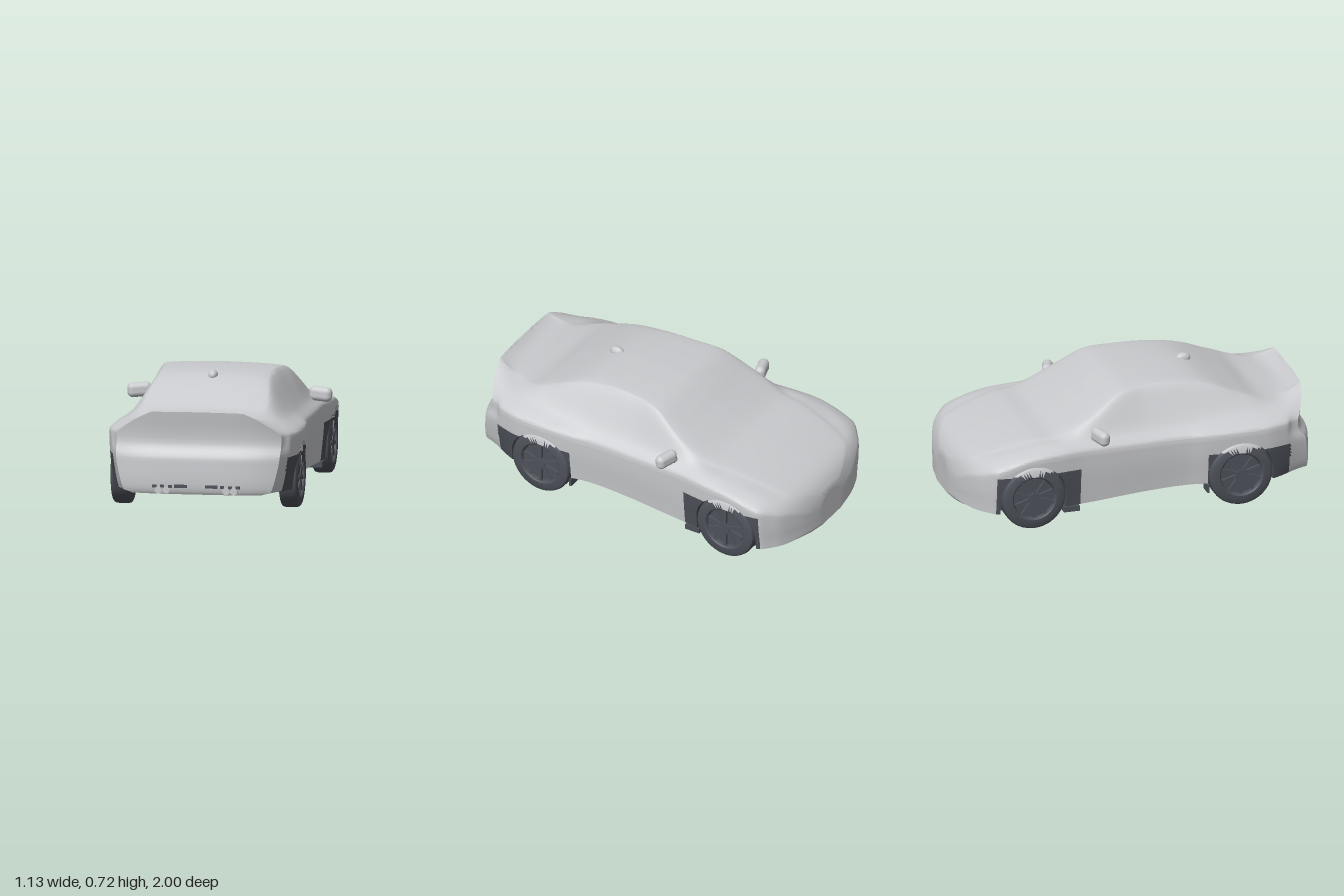
import * as THREE from 'three';
import { toCreasedNormals } from 'three/addons/utils/BufferGeometryUtils.js';
import { RoundedBoxGeometry } from 'three/addons/geometries/RoundedBoxGeometry.js';

const paint = new THREE.MeshStandardMaterial({ color: 0xc9cacd });
paint.name = 'silver paint';
const dark = new THREE.MeshStandardMaterial({ color: 0x4d5159 });
dark.name = 'dark rubber';

const WHEEL_R = 0.18, ARCH_R = 0.187, WELL_X = 0.4, DARK_TOP = 0.317;
const REAR_Z = 0.55, FRONT_Z = -0.63;

// Body dimensions along the car as [z, value] pairs, nose at -1
const halfWidth = [[-1, .12], [-.985, .24], [-.965, .31], [-.93, .4], [-.89, .455], [-.83, .51], [-.6, .527], [-.48, .52], [-.35, .505], [-.2, .5], [.1, .495], [.25, .5], [.35, .515], [.5, .525], [.7, .523], [.8, .5], [.95, .455]];
const bottomY = [[-1, .09], [-.8, .085], [-.35, .09], [0, .115], [.3, .127], [.45, .12], [.7, .11], [.95, .125]];
const shoulderY = [[-1, .2], [-.965, .27], [-.9, .32], [-.8, .36], [-.6, .41], [0, .42], [.5, .43], [.8, .44], [.95, .44]];
const beltX = [[-1, .1], [-.965, .27], [-.9, .39], [-.8, .44], [-.6, .46], [-.4, .455], [0, .44], [.4, .435], [.7, .42], [.85, .39], [.95, .37]];
const beltY = [[-1, .24], [-.965, .3], [-.9, .355], [-.8, .4], [-.6, .445], [-.45, .46], [-.2, .475], [.2, .485], [.6, .5], [.8, .5], [.95, .51]];
const roofX = [[-1, .07], [-.965, .2], [-.9, .31], [-.6, .38], [-.4, .4], [-.25, .39], [-.1, .345], [.05, .315], [.25, .31], [.45, .325], [.65, .345], [.75, .32], [.85, .28], [.95, .255]];
const roofY = [[-1, .26], [-.965, .325], [-.9, .374], [-.75, .425], [-.6, .46], [-.45, .475], [-.25, .57], [-.1, .662], [.05, .685], [.25, .68], [.45, .64], [.6, .58], [.75, .535], [.85, .53], [.95, .572]];
const topY = [[-1, .27], [-.965, .335], [-.9, .385], [-.75, .44], [-.6, .475], [-.47, .49], [-.3, .575], [-.2, .635], [-.1, .685], [0, .7], [.15, .705], [.3, .7], [.4, .68], [.6, .6], [.7, .555], [.8, .54], [.88, .535], [.92, .55], [.95, .577]];
// How far the tail stands out at each height: bumper, recess, spoiler lip
const tailOut = [[.1, .02], [.15, .046], [.3, .047], [.34, .04], [.38, .008], [.45, .002], [.58, .02]];

// Smooth interpolation through [key, value] pairs
function at(table, k) {
  const n = table.length - 1;
  k = Math.min(Math.max(k, table[0][0]), table[n][0]);
  let i = 0;
  while (i < n - 1 && k > table[i + 1][0]) i++;
  const slope = (a, b) => (table[b][1] - table[a][1]) / (table[b][0] - table[a][0]);
  const h = table[i + 1][0] - table[i][0], t = (k - table[i][0]) / h;
  const m0 = slope(Math.max(i - 1, 0), i + 1) * h, m1 = slope(i, Math.min(i + 2, n)) * h;
  const t2 = t * t, t3 = t2 * t;
  return (2 * t3 - 3 * t2 + 1) * table[i][1] + (t3 - 2 * t2 + t) * m0 + (3 * t2 - 2 * t3) * table[i + 1][1] + (t3 - t2) * m1;
}

// Half cross-section from the underside centre to the roof centre;
// archZ is the wheel centre when the section is cut by a wheel arch
function halfSection(z, archZ) {
  const w = at(halfWidth, z), b = at(bottomY, z), s = at(shoulderY, z) - .02;
  const rx = at(roofX, z), ry = at(roofY, z), top = at(topY, z);
  const cut = archZ !== undefined;
  const archTop = cut ? WHEEL_R + Math.sqrt(Math.max(0, ARCH_R ** 2 - (z - archZ) ** 2)) : b;
  const y0 = cut ? archTop : b + .015;
  const sill = .95 - .07 * THREE.MathUtils.smoothstep(z, .7, .95);
  const flank = [[b, w * sill], [b + .06, w * (sill + .975) / 2], [b + (s - b) * .65, w * .99], [s, w]];
  const innerX = Math.min(WELL_X, w * .78);
  const band = Math.min(Math.max(y0, DARK_TOP), s);
  const pts = [];
  const run = (count, f) => { for (let i = 1; i <= count; i++) pts.push(f(i / count)); };
  const mix = THREE.MathUtils.lerp;
  pts.push([0, b]);
  run(4, t => [innerX * t, b]);                                       // floor
  run(3, t => [innerX, mix(b, archTop, t)]);                          // inner wall of the well
  run(3, t => [mix(innerX, at(flank, y0), t), mix(archTop, y0, t)]);  // sill or arch lip
  run(9, t => [at(flank, mix(y0, band, t)), mix(y0, band, t)]);       // lower flank
  run(6, t => [at(flank, mix(band, s, t)), mix(band, s, t)]);         // upper flank
  const cabin = new THREE.CatmullRomCurve3([
    [w, s], [w * .99, s + .025], [at(beltX, z), at(beltY, z)], [rx, ry],
    [rx * .93, ry + (top - ry) * .35], [rx * .5, ry + (top - ry) * .8], [0, top],
  ].map(([x, y]) => new THREE.Vector3(x, y, 0)));
  cabin.getPoints(42).slice(1).forEach(p => pts.push([p.x, p.y]));
  return pts;
}

// Splits triangles between paint and dark by their centre point
function twoTone(geo, isDark) {
  const p = geo.attributes.position, lists = [[], []];
  const count = geo.index ? geo.index.count : p.count;
  for (let i = 0; i < count; i += 3) {
    const ids = [0, 1, 2].map(k => geo.index ? geo.index.getX(i + k) : i + k);
    const c = new THREE.Vector3();
    ids.forEach(id => c.add(new THREE.Vector3().fromBufferAttribute(p, id)));
    lists[isDark(c.divideScalar(3)) ? 1 : 0].push(...ids);
  }
  geo.clearGroups();
  geo.setIndex(lists[0].concat(lists[1]));
  geo.addGroup(0, lists[0].length, 0);
  geo.addGroup(lists[0].length, lists[1].length, 1);
  return new THREE.Mesh(geo, [paint, dark]);
}

function makeBody() {
  // Rings [z, width scale, arch centre] from nose to tail, with doubled rings
  // at the arch ends and narrowing rings that close the nose and tail
  const rings = [];
  for (let s = 0; s < 5; s++) rings.push([-1, s / 5]);
  const span = (from, to) => {
    const n = Math.ceil((to - from) / .015);
    for (let i = 0; i <= n; i++) rings.push([from + (to - from) * i / n, 1]);
  };
  const arch = cz => {
    for (let i = 0; i <= 32; i++) rings.push([cz - ARCH_R * Math.cos(Math.PI * i / 32), 1, cz]);
  };
  span(-1, -.84);
  span(-.84, FRONT_Z - ARCH_R);
  arch(FRONT_Z);
  span(FRONT_Z + ARCH_R, -.36);
  span(-.36, REAR_Z - ARCH_R);
  arch(REAR_Z);
  span(REAR_Z + ARCH_R, .84);
  span(.84, .95);
  for (let s = 9; s >= 0; s--) rings.push([.95, s / 10]);

  const pos = [], index = [];
  let n = 0;
  for (const [z, s, archZ] of rings) {
    const half = halfSection(z, archZ);
    const loop = [...half, ...half.slice(1, -1).reverse().map(([x, y]) => [-x, y])];
    n = loop.length;
    const tail = THREE.MathUtils.smoothstep(z, .8, .95);
    for (const [x, y] of loop) {
      pos.push(x * s, y, z + tail * (at(tailOut, y) - .055 * Math.abs(x * s / .44) ** 4));
    }
  }
  for (let i = 0; i < rings.length - 1; i++) {
    for (let j = 0; j < n; j++) {
      const k = (j + 1) % n;
      const a = i * n + j, b = i * n + k, c = a + n, d = b + n;
      index.push(a, b, d, a, d, c);
    }
  }
  const geo = new THREE.BufferGeometry();
  geo.setAttribute('position', new THREE.Float32BufferAttribute(pos, 3));
  geo.setIndex(index);
  const body = twoTone(toCreasedNormals(geo, .7), c =>
    c.y < DARK_TOP && Math.abs(c.x) > WELL_X - .005 &&
    ((c.z > .36 && c.z < .84) || (c.z > -.84 && c.z < -.36)));
  body.name = 'body';
  return body;
}

function makeWheel(side, z) {
  const wheel = new THREE.Group();
  wheel.name = (z > 0 ? 'rear' : 'front') + (side > 0 ? 'Left' : 'Right') + 'Wheel';
  const place = g => g.rotateZ(-side * Math.PI / 2).translate(side * .463, WHEEL_R, z);
  // Tyre with a recessed rim dish
  const profile = [[0, -.05], [.165, -.05], [.176, -.044], [WHEEL_R, -.03], [WHEEL_R, .03], [.175, .044], [.165, .051], [.125, .053], [.118, .048], [.113, .03], [0, .03]];
  const tyreGeo = place(new THREE.LatheGeometry(profile.map(p => new THREE.Vector2(...p)), 64));
  const tyre = twoTone(toCreasedNormals(tyreGeo, .6), c => c.y < DARK_TOP);
  tyre.name = 'tyre';
  wheel.add(tyre);
  // Ten spokes and a hub
  for (let i = 0; i < 10; i++) {
    const spoke = new THREE.BoxGeometry(.09, .016, .018).translate(.068, .038, 0).rotateY(i * Math.PI / 5);
    const mesh = new THREE.Mesh(place(spoke), dark);
    mesh.name = 'spoke';
    wheel.add(mesh);
  }
  const hub = new THREE.Mesh(place(new THREE.CylinderGeometry(.03, .034, .02, 24).translate(0, .04, 0)), dark);
  hub.name = 'hub';
  wheel.add(hub);
  return wheel;
}

export function createModel() {
  const car = new THREE.Group();
  car.name = 'car';
  const add = (name, geo, mat, x, y, z) => {
    const mesh = new THREE.Mesh(geo, mat);
    mesh.name = name;
    mesh.position.set(x, y, z);
    car.add(mesh);
    return mesh;
  };
  car.add(makeBody());
  for (const side of [1, -1]) {
    for (const z of [REAR_Z, FRONT_Z]) car.add(makeWheel(side, z));
    // Door mirror on a short arm
    const mirror = add('mirror', new RoundedBoxGeometry(.132, .08, .06, 6, .029), paint, side * .5, .495, -.25);
    mirror.rotation.set(0, -side * .3, -side * .05);
    add('mirrorArm', new RoundedBoxGeometry(.08, .025, .04, 3, .01), paint, side * .435, .475, -.27);
    // Flaps hanging beside the wheels
    add('frontFlap', new THREE.BoxGeometry(.08, .03, .09), dark, side * .45, .083, -.41);
    add('rearFlap', new THREE.BoxGeometry(.08, .045, .012), dark, side * .455, .108, .367);
    // Exhaust pipes and bumper slots
    for (const x of [.165, .208]) {
      add('exhaustPipe', new THREE.CylinderGeometry(.02, .02, .05, 24).rotateX(Math.PI / 2), paint, side * x, .148, .975);
    }
    add('bumperSlot', new THREE.BoxGeometry(.07, .018, .009), dark, side * .085, .171, .996);
    for (const x of [.143, .187, .23]) {
      add('exhaustSlot', new THREE.BoxGeometry(.022, .016, .009), dark, side * x, .169, .994);
    }
  }
  // Roof aerial
  const fin = add('roofAerial', new THREE.SphereGeometry(1, 24, 16), paint, 0, .687, .37);
  fin.scale.set(.026, .03, .042);
  return car;
}
